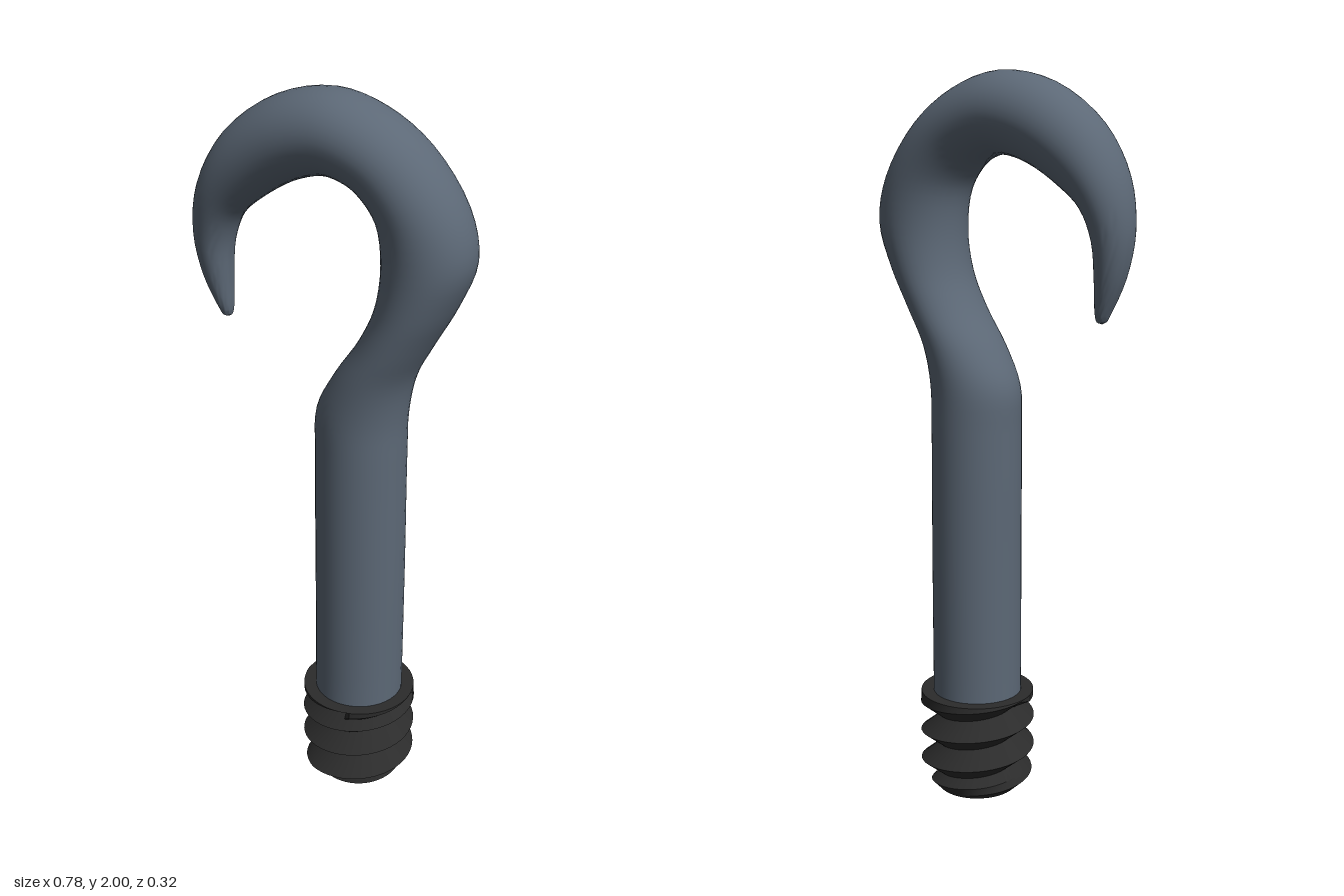
import * as THREE from 'three';
import { toCreasedNormals } from 'three/addons/utils/BufferGeometryUtils.js';

// Surface through rows of cross-sections; point(i, j) returns [x, y, z]
function loft(rows, cols, point, crease) {
  const pos = [], index = [];
  for (let i = 0; i <= rows; i++) {
    for (let j = 0; j <= cols; j++) {
      pos.push(...point(i, j % cols === 0 && j ? cols : j));
      if (i < rows && j < cols) {
        const a = i * (cols + 1) + j, c = a + cols + 1;
        index.push(a, c, a + 1, a + 1, c, c + 1);
      }
    }
  }
  const g = new THREE.BufferGeometry();
  g.setAttribute('position', new THREE.Float32BufferAttribute(pos, 3));
  g.setIndex(index);
  return toCreasedNormals(g, crease);
}

// Shank and hook: outer x, y, inner x, y, half depth
const SECTIONS = [
  [0.215, 0.27, -0.035, 0.27, 0.125],
  [0.215, 0.7, -0.035, 0.7, 0.125],
  [0.213, 1.05, -0.035, 1.05, 0.125],
  [0.215, 1.17, -0.03, 1.17, 0.125],
  [0.235, 1.28, 0.02, 1.27, 0.125],
  [0.285, 1.38, 0.09, 1.375, 0.125],
  [0.345, 1.49, 0.133, 1.47, 0.125],
  [0.388, 1.61, 0.148, 1.59, 0.125],
  [0.36, 1.735, 0.132, 1.695, 0.125],
  [0.255, 1.88, 0.085, 1.755, 0.125],
  [0.13, 1.965, 0.04, 1.778, 0.125],
  [0, 2, -0.01, 1.785, 0.123],
  [-0.15, 1.97, -0.1, 1.76, 0.118],
  [-0.29, 1.872, -0.2, 1.7, 0.107],
  [-0.37, 1.74, -0.262, 1.645, 0.09],
  [-0.395, 1.6, -0.29, 1.57, 0.066],
  [-0.375, 1.48, -0.295, 1.47, 0.045],
  [-0.333, 1.385, -0.295, 1.385, 0.022],
  [-0.325, 1.37, -0.299, 1.368, 0.014],
  [-0.313, 1.363, -0.311, 1.363, 0.001],
];

function hookGeometry() {
  const curve = (f) => new THREE.CatmullRomCurve3(SECTIONS.map(f), false, 'centripetal');
  const outer = curve((s) => new THREE.Vector3(s[0], s[1], s[4]));
  const inner = curve((s) => new THREE.Vector3(s[2], s[3], s[4]));
  const rows = (SECTIONS.length - 1) * 4, cols = 40;
  return loft(rows, cols, (i, j) => {
    const o = outer.getPoint(i / rows), n = inner.getPoint(i / rows);
    const a = (j / cols) * Math.PI * 2, c = Math.cos(a) / 2;
    return [
      (o.x + n.x) / 2 + (o.x - n.x) * c,
      (o.y + n.y) / 2 + (o.y - n.y) * c,
      o.z * Math.sin(a),
    ];
  }, 1.2);
}

// Screw thread: rows follow the helix, clamped to the flat ends
function threadGeometry() {
  const pitch = 0.086, crest = 0.16, height = 0.29, cols = 48, first = -9, last = 12;
  const rows = last - first;
  return loft(rows + 2, cols, (i, j) => {
    const k = first + THREE.MathUtils.clamp(i - 1, 0, rows);
    const turn = j / cols, a = turn * Math.PI * 2;
    const y = THREE.MathUtils.clamp(crest + (k / 4 - turn) * pitch, 0, height);
    const phase = (y - crest) / pitch + turn;
    const wave = Math.abs(phase - Math.round(phase)) * 2;
    let r = THREE.MathUtils.lerp(0.162, 0.108, wave);
    r = Math.min(r, 0.112 + y * 1.1); // tapered lead-in
    r = Math.max(r, THREE.MathUtils.mapLinear(y, 0.245, 0.27, 0.108, 0.16) > 0.16 ? 0.16 : 0); // top rim
    if (i === 0 || i === rows + 2) r = 0; // end caps
    return [0.09 + r * Math.cos(a), y, r * Math.sin(a)];
  }, 0.5);
}

export function createModel() {
  const group = new THREE.Group();
  const add = (name, geometry, color) => {
    const mesh = new THREE.Mesh(geometry, new THREE.MeshStandardMaterial({ color }));
    mesh.name = name;
    group.add(mesh);
  };
  add('hook', hookGeometry(), 0x5c6876);
  add('screwThread', threadGeometry(), 0x2b2b2b);
  return group;
}
